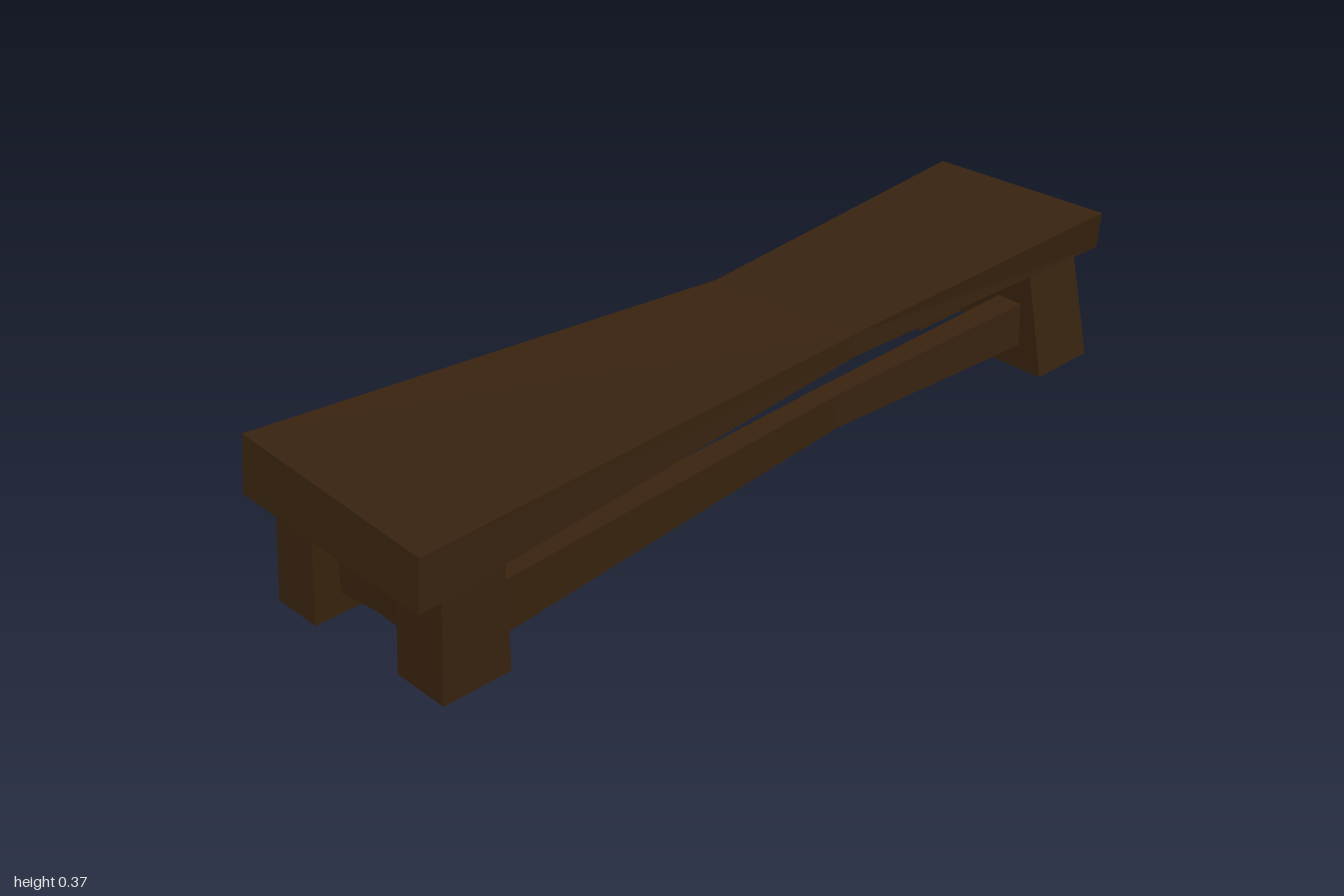
import * as THREE from 'three';

const wood = new THREE.MeshStandardMaterial({ color: 0x38230f });
wood.name = 'dark wood';

// Joins four-cornered cross-sections (counter-clockwise seen from the far end) into a closed, faceted beam
function loft(name, sections) {
  const pos = [];
  const quad = (a, b, c, d) => pos.push(...a, ...b, ...c, ...a, ...c, ...d);
  for (let s = 0; s < sections.length - 1; s++) {
    const A = sections[s], B = sections[s + 1];
    for (let i = 0; i < 4; i++) {
      const j = (i + 1) % 4;
      quad(A[i], A[j], B[j], B[i]);
    }
  }
  quad(...[...sections[0]].reverse());
  quad(...sections[sections.length - 1]);
  const geo = new THREE.BufferGeometry();
  geo.setAttribute('position', new THREE.Float32BufferAttribute(pos, 3));
  geo.computeVertexNormals();
  const mesh = new THREE.Mesh(geo, wood);
  mesh.name = name;
  return mesh;
}

// Rectangular sections across each axis
const acrossX = (x, y0, y1, zBack, zFront) =>
  [[x, y0, zFront], [x, y0, zBack], [x, y1, zBack], [x, y1, zFront]];
const acrossY = (y, x0, x1, zBack, zFront) =>
  [[x0, y, zFront], [x1, y, zFront], [x1, y, zBack], [x0, y, zBack]];
const acrossZ = (z, y0, y1, x0, x1) =>
  [[x0, y0, z], [x1, y0, z], [x1, y1, z], [x0, y1, z]];

export function createModel() {
  const bench = new THREE.Group();
  bench.name = 'bench';

  // Warped seat slab, pinched off-centre
  bench.add(loft('seat', [
    [[-1, 0.243, 0.27], [-1, 0.25, -0.262], [-0.985, 0.372, -0.265], [-0.985, 0.35, 0.265]],
    [[0.2, 0.252, 0.165], [0.17, 0.252, -0.22], [0.17, 0.308, -0.215], [0.2, 0.305, 0.165]],
    [[1, 0.25, 0.186], [0.975, 0.25, -0.27], [0.965, 0.342, -0.252], [0.99, 0.342, 0.2]],
  ]));

  // Crooked legs: [name, foot x0 x1 zBack zFront, top x0 x1 zBack zFront]
  const legs = [
    ['frontLeftLeg', [0.785, 0.955, 0.056, 0.212], [0.775, 0.935, 0.05, 0.168]],
    ['backLeftLeg', [0.765, 0.94, -0.258, -0.132], [0.757, 0.92, -0.243, -0.126]],
    ['frontRightLeg', [-0.94, -0.785, 0.1, 0.235], [-0.93, -0.79, 0.11, 0.243]],
    ['backRightLeg', [-0.96, -0.745, -0.25, -0.13], [-0.945, -0.79, -0.24, -0.126]],
  ];
  for (const [name, foot, top] of legs) {
    bench.add(loft(name, [acrossY(0, ...foot), acrossY(0.26, ...top)]));
  }

  // Long stretchers, slimmer where the seat narrows
  bench.add(loft('frontStretcher', [
    acrossX(-0.82, 0.055, 0.17, 0.135, 0.205),
    acrossX(0.19, 0.072, 0.152, 0.08, 0.13),
    acrossX(0.82, 0.06, 0.168, 0.085, 0.15),
  ]));
  bench.add(loft('backStretcher', [
    acrossX(-0.82, 0.055, 0.165, -0.22, -0.15),
    acrossX(0.17, 0.072, 0.15, -0.19, -0.14),
    acrossX(0.82, 0.06, 0.165, -0.22, -0.15),
  ]));

  // Short end stretchers
  for (const [name, x, back, front] of [['leftEndStretcher', 0.855, -0.16, 0.08], ['rightEndStretcher', -0.865, -0.16, 0.13]]) {
    const drop = x < 0 ? 0.012 : 0;
    bench.add(loft(name, [
      acrossZ(back, 0.057 - drop, 0.13, x - 0.035, x + 0.035),
      acrossZ(-0.02, 0.058 - drop / 2, 0.112, x - 0.025, x + 0.025),
      acrossZ(front, 0.069 - drop, 0.133, x - 0.035, x + 0.035),
    ]));
  }
  return bench;
}
